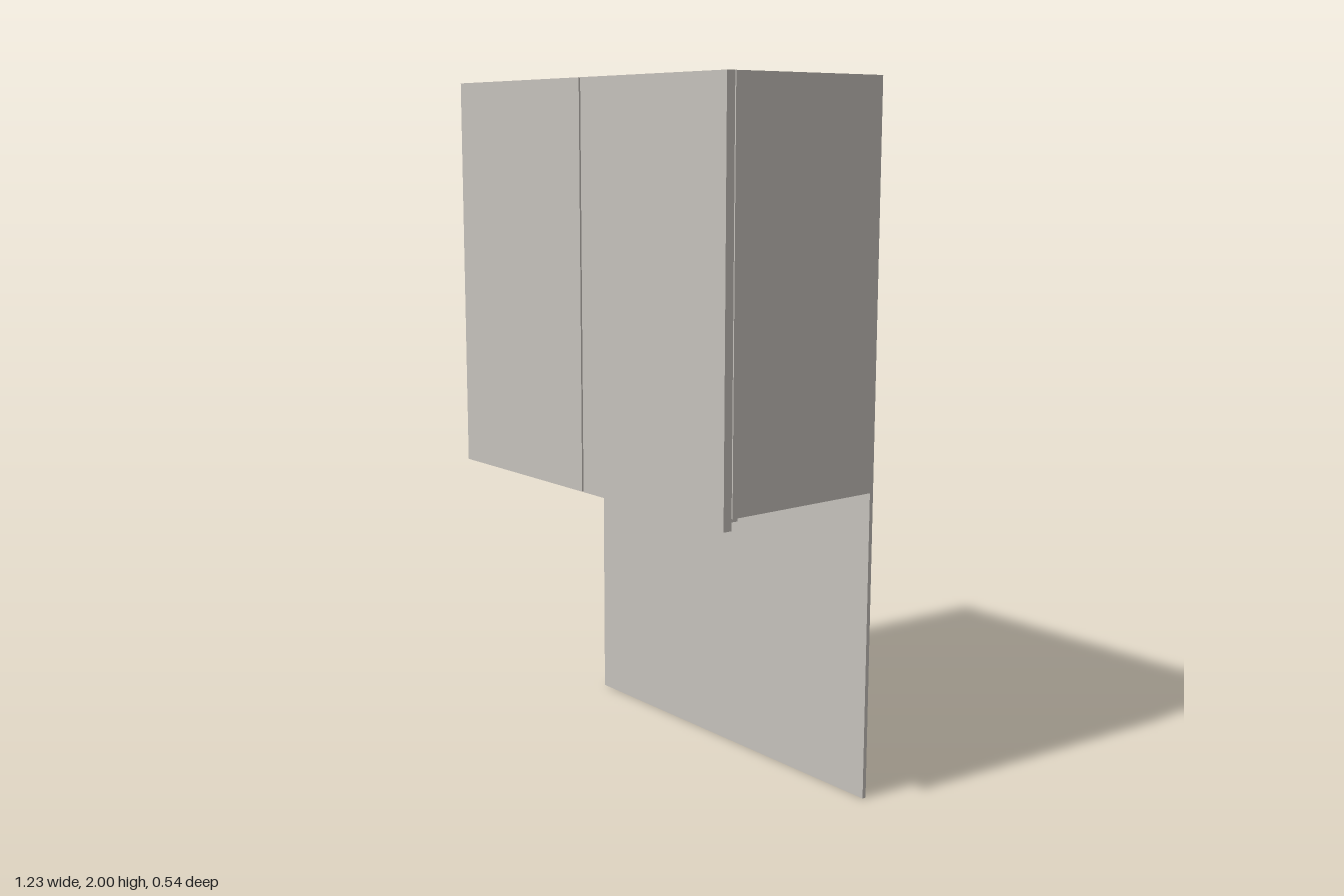
import * as THREE from 'three';

export function createModel() {
  const model = new THREE.Group();
  model.name = 'wallCabinet';
  const panel = new THREE.MeshStandardMaterial({ color: 0xc5c1bb });
  panel.name = 'warmGrey';

  // Box given by its lower and upper limits on each axis
  function board(name, [x0, x1], [y0, y1], [z0, z1], parent = model) {
    const mesh = new THREE.Mesh(new THREE.BoxGeometry(x1 - x0, y1 - y0, z1 - z0), panel);
    mesh.name = name;
    mesh.position.set((x0 + x1) / 2, (y0 + y1) / 2, (z0 + z1) / 2);
    parent.add(mesh);
    return mesh;
  }

  const W = 0.613, T = 0.026;        // half width, board thickness
  const inner = W - T;
  const bottom = 0.884, top = 2;
  const back = -0.268, front = 0.24;

  // Carcass
  const carcass = new THREE.Group();
  carcass.name = 'carcass';
  model.add(carcass);
  board('leftSide', [inner, W], [bottom, top], [back, front], carcass);
  board('rightSide', [-W, -inner], [bottom, top], [back, front], carcass);
  board('topPanel', [-inner, inner], [top - T, top], [back, front], carcass);
  board('bottomPanel', [-inner, inner], [bottom, bottom + T], [back, front], carcass);
  board('backPanel', [-inner, inner], [bottom + T, top - T], [back, back + 0.012], carcass);

  // Rail under the front edge, behind the doors
  board('lightRail', [-inner, inner], [0.868, bottom], [0.2, 0.231]);

  // Pair of doors hanging a little below the carcass
  board('leftDoor', [0.0035, W - 0.002], [0.853, top], [0.2415, 0.268]);
  board('rightDoor', [-W + 0.002, -0.0035], [0.853, top], [0.2415, 0.268]);

  // Thin wall panel reaching down to the worktop
  board('splashback', [-W, W], [0, bottom], [back, back + 0.012]);

  return model;
}
